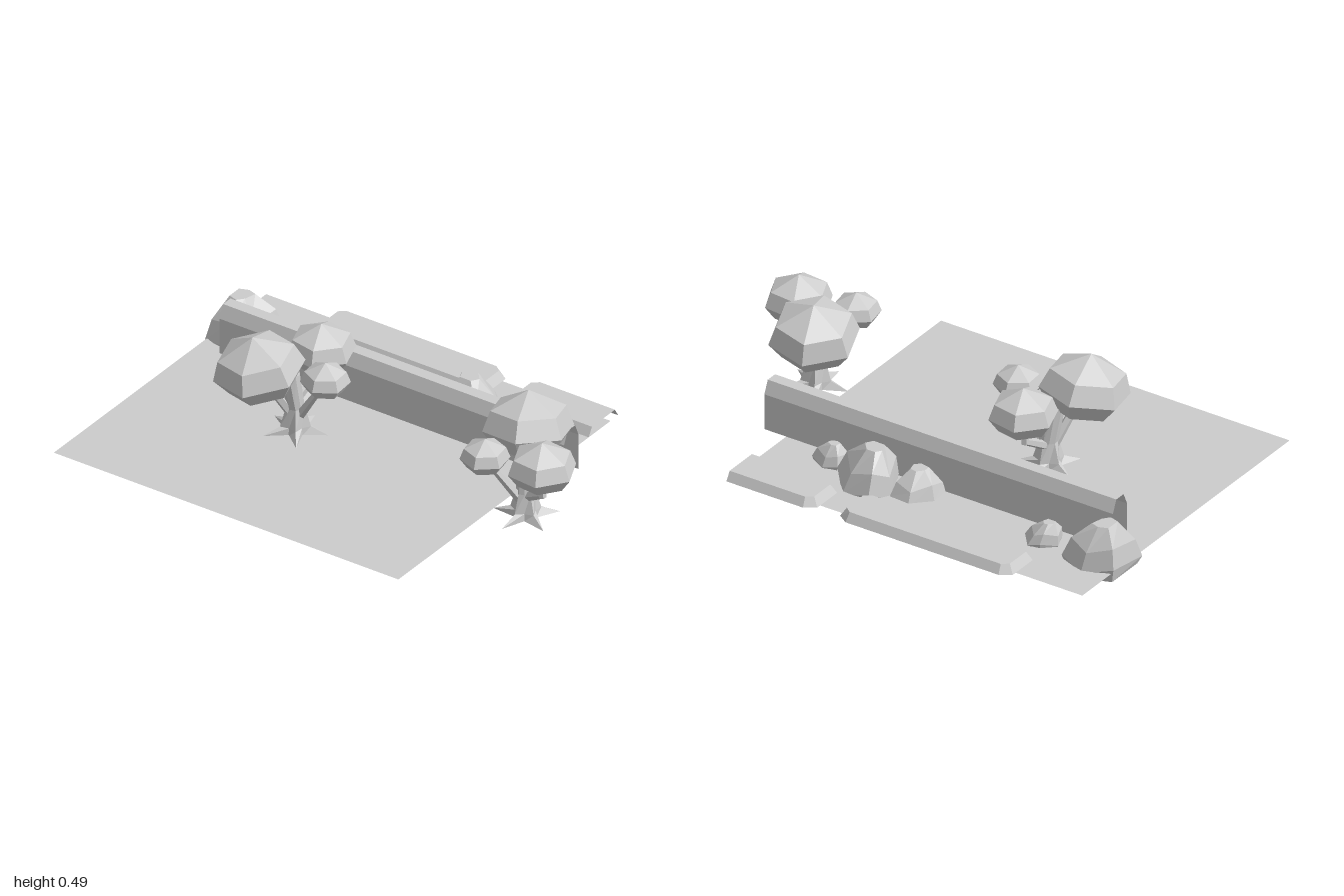
import * as THREE from 'three';

const stone = new THREE.MeshStandardMaterial({ color: 0xcccccc, flatShading: true, side: THREE.DoubleSide });
stone.name = 'plain grey';
const GROUND = 0.042;

function add(parent, name, geometry) {
  const mesh = new THREE.Mesh(geometry, stone);
  mesh.name = name;
  parent.add(mesh);
  return mesh;
}

// Skin over a stack of loops of [x, y, z]; optionally closed round and capped on top
function loft(loops, closed = true, cap = true) {
  const n = loops[0].length, position = loops.flat(2), index = [];
  const segments = closed ? n : n - 1;
  for (let j = 0; j < loops.length - 1; j++) {
    for (let i = 0; i < segments; i++) {
      const a = j * n + i, b = j * n + (i + 1) % n;
      index.push(a, a + n, b, b, a + n, b + n);
    }
  }
  if (cap) {
    const top = loops[loops.length - 1], first = (loops.length - 1) * n;
    for (let k = 0; k < 3; k++) position.push(top.reduce((s, p) => s + p[k], 0) / n);
    for (let i = 0; i < n; i++) index.push(first + i, first + n, first + (i + 1) % n);
  }
  const g = new THREE.BufferGeometry();
  g.setAttribute('position', new THREE.Float32BufferAttribute(position, 3));
  g.setIndex(index);
  g.computeVertexNormals();
  return g;
}

// Six-sided crown of leaves; size is its widest radius
function crown(parent, name, size, x, y, z, degrees, tilt = 0) {
  const profile = [[0, 0], [0.72, 0], [1, 0.4], [0.83, 0.85], [0, 1.26]]
    .map(([r, h]) => new THREE.Vector2(r * size, h * size));
  const g = new THREE.LatheGeometry(profile, 6, Math.PI / 2);
  g.rotateY(-degrees * Math.PI / 180);
  const mesh = add(parent, name, g);
  mesh.position.set(x, y, z);
  // lean outward, away from the trunk
  const axis = new THREE.Vector3(z, 0, -x).normalize();
  mesh.quaternion.setFromAxisAngle(axis, tilt);
}

// Straight tapering piece of branch between two points
function limb(parent, name, from, to, r0, r1) {
  const a = new THREE.Vector3(...from), b = new THREE.Vector3(...to);
  const mesh = add(parent, name, new THREE.CylinderGeometry(r1, r0, a.distanceTo(b), 5));
  mesh.position.copy(a).add(b).multiplyScalar(0.5);
  mesh.quaternion.setFromUnitVectors(new THREE.Vector3(0, 1, 0), b.sub(a).normalize());
}

function tree(name, x, z, turn) {
  const t = new THREE.Group();
  t.name = name;
  t.position.set(x, GROUND - 0.002, z);
  t.rotation.y = turn;
  // trunk with five pointed roots: [height, root radius, hollow radius, shift x, shift z]
  const sections = [[0, 0.135, 0.045, 0, 0], [0.03, 0.062, 0.042, 0, 0],
    [0.11, 0.038, 0.036, 0, 0], [0.26, 0.042, 0.042, -0.02, -0.015]];
  add(t, 'trunk', loft(sections.map(([y, r, h, dx, dz]) => Array.from({ length: 10 }, (_, i) => {
    const a = i * Math.PI / 5, q = i % 2 ? h : r;
    return [dx + q * Math.cos(a), y, dz + q * Math.sin(a)];
  }))));
  // branches
  limb(t, 'lowerMiddleBranch', [0.01, 0.09, 0], [0.145, 0.17, 0.01], 0.02, 0.015);
  limb(t, 'upperMiddleBranch', [0.145, 0.16, 0.01], [0.14, 0.27, 0.015], 0.016, 0.014);
  limb(t, 'smallBranch', [0, 0.06, 0.01], [-0.03, 0.27, 0.15], 0.02, 0.012);
  limb(t, 'largeBranch', [-0.01, 0.08, -0.01], [-0.12, 0.27, -0.07], 0.022, 0.014);
  // crowns
  crown(t, 'largeCrown', 0.18, -0.11, 0.228, -0.075, -14, 0.18);
  crown(t, 'middleCrown', 0.137, 0.15, 0.232, 0.015, -19);
  crown(t, 'smallCrown', 0.097, -0.03, 0.25, 0.16, -4);
  return t;
}

// Boulder rising from a ground outline of [x, z] to a small top face, open below
function rock(parent, name, outline, top, y0, y1) {
  const n = outline.length;
  const cx = outline.reduce((s, p) => s + p[0], 0) / n;
  const cz = outline.reduce((s, p) => s + p[1], 0) / n;
  const rings = [[0, 0.88, 0], [0.22, 1, 0], [0.62, 0.8, 0.5], [1, 0.32, 1]];
  add(parent, name, loft(rings.map(([h, s, m]) => outline.map(([x, z], i) => [
    cx + (top[0] - cx) * m + (x - cx) * s,
    y0 + (y1 - y0) * (h + (h > 0.1 && h < 1 ? 0.07 * (i % 2 ? 1 : -1) : 0)),
    cz + (top[1] - cz) * m + (z - cz) * s,
  ]))));
}

// Bevelled paving slab with cut corners; an open slab stops flat at its front end
function slab(parent, name, z0, z1, open) {
  const ring = (inset, y) => {
    const x0 = 0.525 + inset, x1 = 0.72 - inset, a = z0 + inset, b = open ? z1 : z1 - inset;
    const cx = 0.03 - inset * 0.4, cz = 0.045 - inset * 0.8;
    const back = [[x0, a + cz], [x0 + cx, a], [x1 - cx, a], [x1, a + cz]];
    const points = open ? [[x0, b], ...back, [x1, b]]
      : [...back, [x1, b - cz], [x1 - cx, b], [x0 + cx, b], [x0, b - cz]];
    return points.map(([x, z]) => [x, y, z]);
  };
  add(parent, name, loft([ring(0, GROUND), ring(0.022, 0.078)], !open));
}

export function createModel() {
  const model = new THREE.Group();
  model.name = 'gardenScene';

  // flat ground sheet
  const ground = new THREE.PlaneGeometry(1.4, 1.595);
  ground.rotateX(-Math.PI / 2);
  ground.translate(-0.03, GROUND, -0.1925);
  add(model, 'ground', ground);

  // long wall, open at both ends
  const wall = [[0.22, GROUND], [0.22, 0.195], [0.244, 0.248], [0.293, 0.248], [0.316, 0.195], [0.316, GROUND]];
  add(model, 'wall', loft([-0.89, 0.705].map(z => wall.map(([x, y]) => [x, y, z])), false, false));

  slab(model, 'backSlab', -0.685, 0.105, false);
  slab(model, 'frontSlab', 0.21, 0.605, true);

  model.add(tree('backTree', -0.07, -0.335, 0));
  model.add(tree('frontTree', -0.07, 0.73, -2.0));

  // boulders and small rocks
  rock(model, 'backBoulder', [[0.52, -0.88], [0.485, -0.77], [0.33, -0.81], [0.245, -0.88],
    [0.28, -1], [0.475, -1]], [0.4, -0.91], 0, 0.205);
  rock(model, 'middleBoulder', [[0.537, 0.2], [0.42, 0.3], [0.325, 0.24], [0.33, 0.08],
    [0.46, 0.03], [0.535, 0.08]], [0.42, 0.13], 0, 0.205);
  rock(model, 'sideBoulder', [[0.48, -0.06], [0.465, 0.03], [0.36, 0.06], [0.29, 0],
    [0.31, -0.13], [0.4, -0.13]], [0.37, -0.04], 0, 0.145);
  rock(model, 'frontRock', [[0.435, 0.36], [0.4, 0.43], [0.355, 0.42], [0.315, 0.35],
    [0.34, 0.29], [0.42, 0.3]], [0.37, 0.35], 0.03, 0.125);
  rock(model, 'backRock', [[0.48, -0.61], [0.43, -0.565], [0.36, -0.59], [0.36, -0.69],
    [0.42, -0.71], [0.47, -0.66]], [0.41, -0.66], 0.03, 0.13);
  return model;
}
